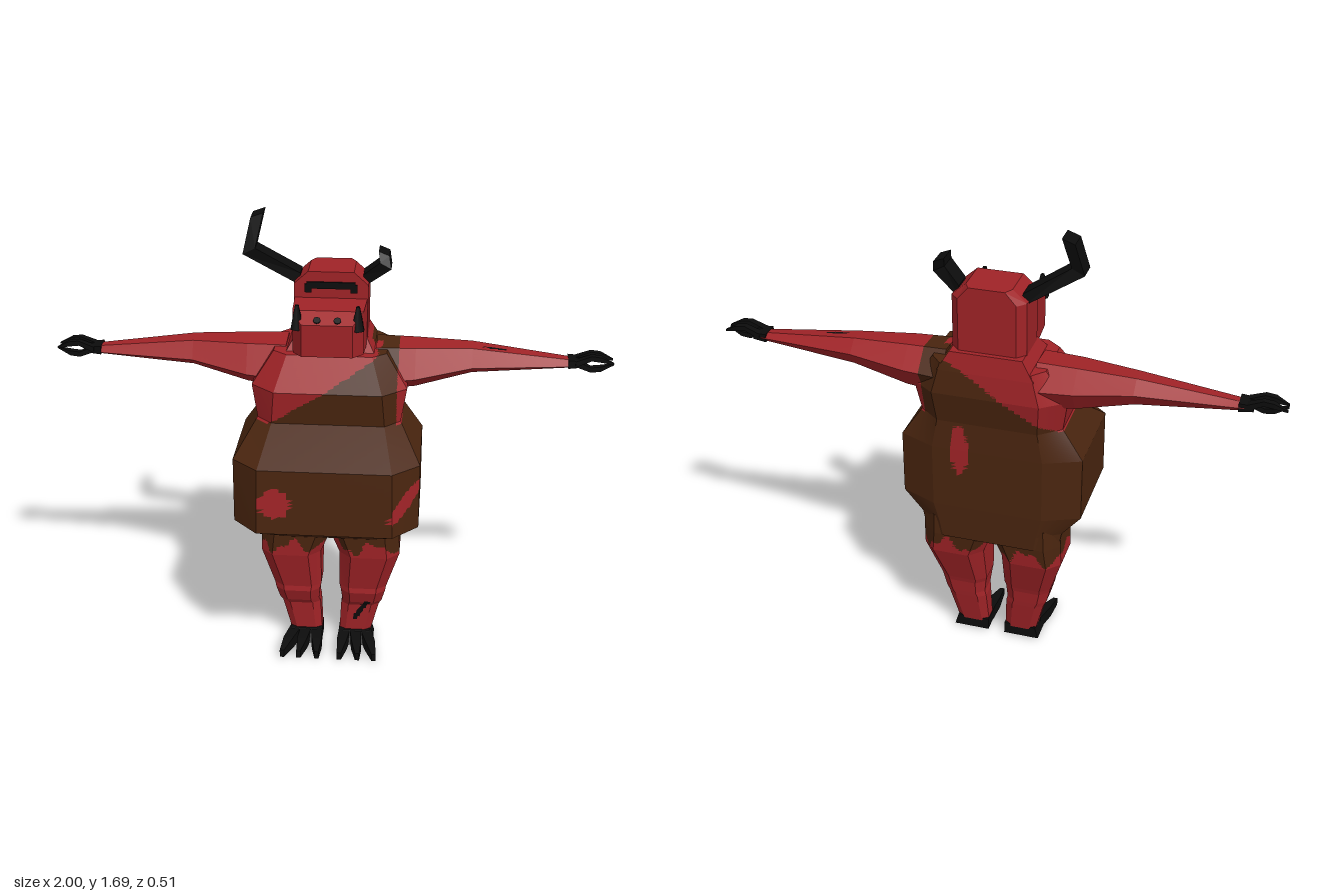
import * as THREE from 'three';

const red = new THREE.MeshStandardMaterial({ color: 0xa02327 });
red.name = 'red skin';
const brown = new THREE.MeshStandardMaterial({ color: 0x4a250f });
brown.name = 'brown hide';
const black = new THREE.MeshStandardMaterial({ color: 0x0c0c0c });
black.name = 'black horn';
const MATS = [red, brown, black];
const RED = () => 0, BLACK = () => 2;
const V = (x, y, z) => new THREE.Vector3(x, y, z);

// Closed faceted skin through loops of points; each quad is split n x n and coloured by paint(point)
function loft(name, loops, paint, n = 1) {
  const middle = (loop) => {
    const c = V(0, 0, 0);
    loop.forEach((p) => c.addScaledVector(p, 1 / loop.length));
    return loop.map(() => c);
  };
  const all = [middle(loops[0]), ...loops, middle(loops[loops.length - 1])];
  const tris = [];
  let volume = 0;
  const add = (a, b, c) => {
    const area = b.clone().sub(a).cross(c.clone().sub(a)).length();
    if (area < 1e-9) return;
    volume += a.dot(b.clone().cross(c));
    tris.push([a, b, c]);
  };
  for (let r = 0; r + 1 < all.length; r++) {
    const m = all[r].length;
    for (let k = 0; k < m; k++) {
      const [a, b, c, d] = [all[r][k], all[r][(k + 1) % m], all[r + 1][(k + 1) % m], all[r + 1][k]];
      const at = (u, v) => a.clone().lerp(b, u / n).lerp(d.clone().lerp(c, u / n), v / n);
      for (let u = 0; u < n; u++) for (let v = 0; v < n; v++) {
        add(at(u, v), at(u + 1, v), at(u + 1, v + 1));
        add(at(u, v), at(u + 1, v + 1), at(u, v + 1));
      }
    }
  }
  const bins = [[], [], []];
  for (const [a, b, c] of tris) {
    const mid = a.clone().add(b).add(c).divideScalar(3);
    const order = volume > 0 ? [a, b, c] : [a, c, b];
    order.forEach((p) => bins[paint(mid)].push(p.x, p.y, p.z));
  }
  const geo = new THREE.BufferGeometry();
  geo.setAttribute('position', new THREE.Float32BufferAttribute(bins.flat(), 3));
  let start = 0;
  bins.forEach((bin, i) => {
    if (bin.length) geo.addGroup(start, bin.length / 3, i);
    start += bin.length / 3;
  });
  geo.computeVertexNormals();
  const mesh = new THREE.Mesh(geo, MATS);
  mesh.name = name;
  return mesh;
}

// Torn hide: ragged hem, three holes, and a strap over the left shoulder
function hide({ x, y, z }) {
  if (y < 0.975) {
    const hem = 0.445 + 0.025 * Math.sin(x * 42 + 1) + 0.014 * Math.sin(x * 95 + z * 60);
    const frontHole = z > 0.2 && Math.hypot(x + 0.175, y - 0.745) < 0.056;
    const v = (y - 0.745) / 0.068;
    const sideHole = x > 0.2 && z > 0.1 && ((x - 0.28 - 0.045 * v) / 0.03) ** 2 + v * v < 1;
    const backHole = z < -0.2 && ((x - 0.1) / 0.03) ** 2 + ((y - 0.87) / 0.1) ** 2 < 1;
    return y > hem && !frontHole && !sideHole && !backHole ? 1 : 0;
  }
  const edge = z > -0.12 ? -0.19 + (y - 0.99) * 1.6 : -0.22 + (y - 0.99) * 1.5;
  return x > edge && x < 0.24 && y < 1.235 ? 1 : 0;
}

// Skin with a few dark scars on the left arm and shin
function skin(p) {
  const { x, y, z } = p;
  if (x > 0.54 && x < 0.63 && y > 1.17 && Math.abs(z + 0.125) < 0.006) return 2;
  if (x > 0.09 && z > -0.09 && y > 0.1 && y < 0.19 && Math.abs(x - 0.12 - (y - 0.15) * 0.6) < 0.011) return 2;
  return hide(p);
}

// Rectangular loops facing along each axis
const rectX = (x, y0, y1, z0, z1) => [V(x, y0, z0), V(x, y1, z0), V(x, y1, z1), V(x, y0, z1)];
const rectY = (y, x0, x1, z0, z1) => [V(x0, y, z0), V(x1, y, z0), V(x1, y, z1), V(x0, y, z1)];
const rectZ = (z, x0, x1, y0, y1) => [V(x0, y0, z), V(x1, y0, z), V(x1, y1, z), V(x0, y1, z)];

function box(name, w, h, d, x, y, z) {
  const mesh = new THREE.Mesh(new THREE.BoxGeometry(w, h, d), black);
  mesh.name = name;
  mesh.position.set(x, y, z);
  return mesh;
}

function makeTorso() {
  // y, front half width, front z, side half width, side front z, side back z, back half width, back z
  const rows = [
    [0.49, 0.16, 0.02, 0.25, -0.02, -0.18, 0.17, -0.23],
    [0.55, 0.2, 0.12, 0.262, 0.06, -0.18, 0.18, -0.232],
    [0.63, 0.24, 0.26, 0.33, 0.165, -0.18, 0.2, -0.235],
    [0.87, 0.235, 0.245, 0.33, 0.16, -0.18, 0.2, -0.235],
    [0.98, 0.2, 0.085, 0.255, 0.03, -0.17, 0.18, -0.232],
    [1.1, 0.19, 0.095, 0.275, 0.02, -0.19, 0.19, -0.255],
    [1.215, 0.15, 0.02, 0.2, -0.02, -0.2, 0.16, -0.245],
  ];
  const loops = rows.map(([y, xf, zf, xs, z1, z2, xb, zb]) => [
    V(-xf, y, zf), V(xf, y, zf), V(xs, y, z1), V(xs, y, z2),
    V(xb, y, zb), V(-xb, y, zb), V(-xs, y, z2), V(-xs, y, z1)]);
  return loft('torso', loops, hide, 18);
}

function makeArm(s) {
  const arm = new THREE.Group();
  arm.name = s > 0 ? 'leftArm' : 'rightArm';
  const shape = [[1, -0.4], [0.5, 0.9], [-0.4, 1], [-1, 0.1], [-0.6, -0.9], [0.5, -1]];
  // x, low y, high y, back z, front z
  const rows = [
    [0.16, 1.06, 1.228, -0.245, 0.0], [0.3, 1.075, 1.225, -0.236, -0.015],
    [0.5, 1.123, 1.217, -0.21, -0.062], [0.86, 1.147, 1.175, -0.165, -0.097]];
  arm.add(loft('armSkin', rows.map(([x, y0, y1, z0, z1]) => shape.map(([a, b]) =>
    V(s * x, (y0 + y1 + b * (y1 - y0)) / 2, (z0 + z1 + a * (z1 - z0)) / 2))), skin, 12));
  arm.add(loft('palm', [rectX(s * 0.84, 1.148, 1.178, -0.165, -0.095),
    rectX(s * 0.89, 1.152, 1.176, -0.16, -0.1)], BLACK));
  // Two upper claws and an opposing lower one
  for (const [z, bend] of [[-0.15, 1], [-0.107, 1], [-0.115, -1]]) {
    const claw = [[0.865, 0, 0.011], [0.92, 0.023, 0.009], [0.955, 0.019, 0.009], [1, 0.002, 0.003]];
    arm.add(loft('claw', claw.map(([x, dy, h]) => {
      const y = 1.165 + bend * dy;
      return rectX(s * x, y - h, y + h, z - h * 1.3, z + h * 1.3);
    }), BLACK));
  }
  return arm;
}

function makeLeg(s) {
  const leg = new THREE.Group();
  leg.name = s > 0 ? 'leftLeg' : 'rightLeg';
  // y, inner x, outer x, back z, front z
  const rows = [
    [0.57, 0, 0.255, -0.225, 0.01], [0.49, 0, 0.258, -0.225, 0.018], [0.405, 0.035, 0.26, -0.216, 0.015],
    [0.255, 0.035, 0.212, -0.162, -0.015], [0.235, 0.04, 0.208, -0.156, -0.012], [0.185, 0.045, 0.195, -0.15, -0.03],
    [0.165, 0.04, 0.185, -0.147, -0.044], [0.03, 0.033, 0.15, -0.125, -0.052]];
  leg.add(loft('legSkin', rows.map(([y, a, b, z0, z1]) => {
    const c = (b - a) * 0.2, e = (z1 - z0) * 0.2;
    return [[a, z0 + e], [a + c, z0], [b - c, z0], [b, z0 + e], [b, z1 - e], [b - c, z1], [a + c, z1], [a, z1 - e]]
      .map(([x, z]) => V(s * x, y, z));
  }), skin, 10));
  leg.add(loft('heel', [rectY(0.005, s * 0.032, s * 0.165, -0.128, -0.01),
    rectY(0.05, s * 0.032, s * 0.152, -0.126, -0.04)], BLACK));
  // Three splayed toes
  for (const [x0, x1] of [[0.055, 0.043], [0.095, 0.112], [0.135, 0.175]]) {
    leg.add(loft('toe', [
      rectZ(-0.06, s * (x0 - 0.022), s * (x0 + 0.022), 0, 0.05),
      rectZ(0.02, s * (x0 * 0.45 + x1 * 0.55 - 0.019), s * (x0 * 0.45 + x1 * 0.55 + 0.019), 0, 0.046),
      rectZ(0.095, s * (x1 - 0.008), s * (x1 + 0.008), 0.004, 0.034)], BLACK));
  }
  return leg;
}

function makeHead() {
  const head = new THREE.Group();
  head.name = 'head';
  head.add(loft('neck', [rectY(1.19, -0.17, 0.17, -0.25, 0), rectY(1.26, -0.128, 0.128, -0.238, -0.05)], hide, 8));
  const half = [[0.13, 1.22], [0.13, 1.45], [0.08, 1.495]];
  const outline = [...half, ...half.map(([x, y]) => [-x, y]).reverse()];
  head.add(loft('skull', [[-0.22, 0.78], [-0.19, 1], [-0.062, 1]].map(([z, k]) =>
    outline.map(([x, y]) => V(x * k, y, z))), RED));
  head.add(loft('snout', [rectZ(-0.08, -0.128, 0.128, 1.23, 1.4),
    rectZ(0.07, -0.122, 0.122, 1.245, 1.4), rectZ(0.12, -0.088, 0.088, 1.25, 1.365)], RED));
  head.add(box('brow', 0.17, 0.024, 0.009, 0, 1.447, -0.06));
  for (const s of [-1, 1]) {
    head.add(box('browEnd', 0.024, 0.03, 0.009, s * 0.08, 1.436, -0.06));
    const nostril = new THREE.Mesh(new THREE.CylinderGeometry(0.013, 0.013, 0.008, 8), black);
    nostril.name = 'nostril';
    nostril.position.set(s * 0.035, 1.377, 0.104);
    nostril.rotation.x = 0.61;
    const tusk = new THREE.Mesh(new THREE.CylinderGeometry(0.007, 0.025, 0.085, 6), black);
    tusk.name = 'tusk';
    tusk.position.set(s * 0.104, 1.384, 0.092);
    head.add(nostril, tusk);
  }
  // Bent horns, the left one broken short: outer x, y, inner x, y, centre z
  const horn = (name, rows) => loft(name, rows.map(([x0, y0, x1, y1, z]) =>
    [V(x0, y0, z - 0.037), V(x1, y1, z - 0.037), V(x1, y1, z + 0.037), V(x0, y0, z + 0.037)]), BLACK);
  head.add(horn('rightHorn', [[-0.11, 1.43, -0.11, 1.475, -0.137],
    [-0.308, 1.55, -0.264, 1.572, -0.103], [-0.282, 1.672, -0.238, 1.688, -0.138]]));
  head.add(horn('leftHorn', [[0.11, 1.43, 0.11, 1.475, -0.137],
    [0.208, 1.505, 0.168, 1.527, -0.112], [0.2, 1.548, 0.163, 1.563, -0.13]]));
  return head;
}

export function createModel() {
  const model = new THREE.Group();
  model.name = 'hornedBrute';
  model.add(makeTorso(), makeHead());
  for (const s of [-1, 1]) model.add(makeArm(s), makeLeg(s));
  return model;
}
